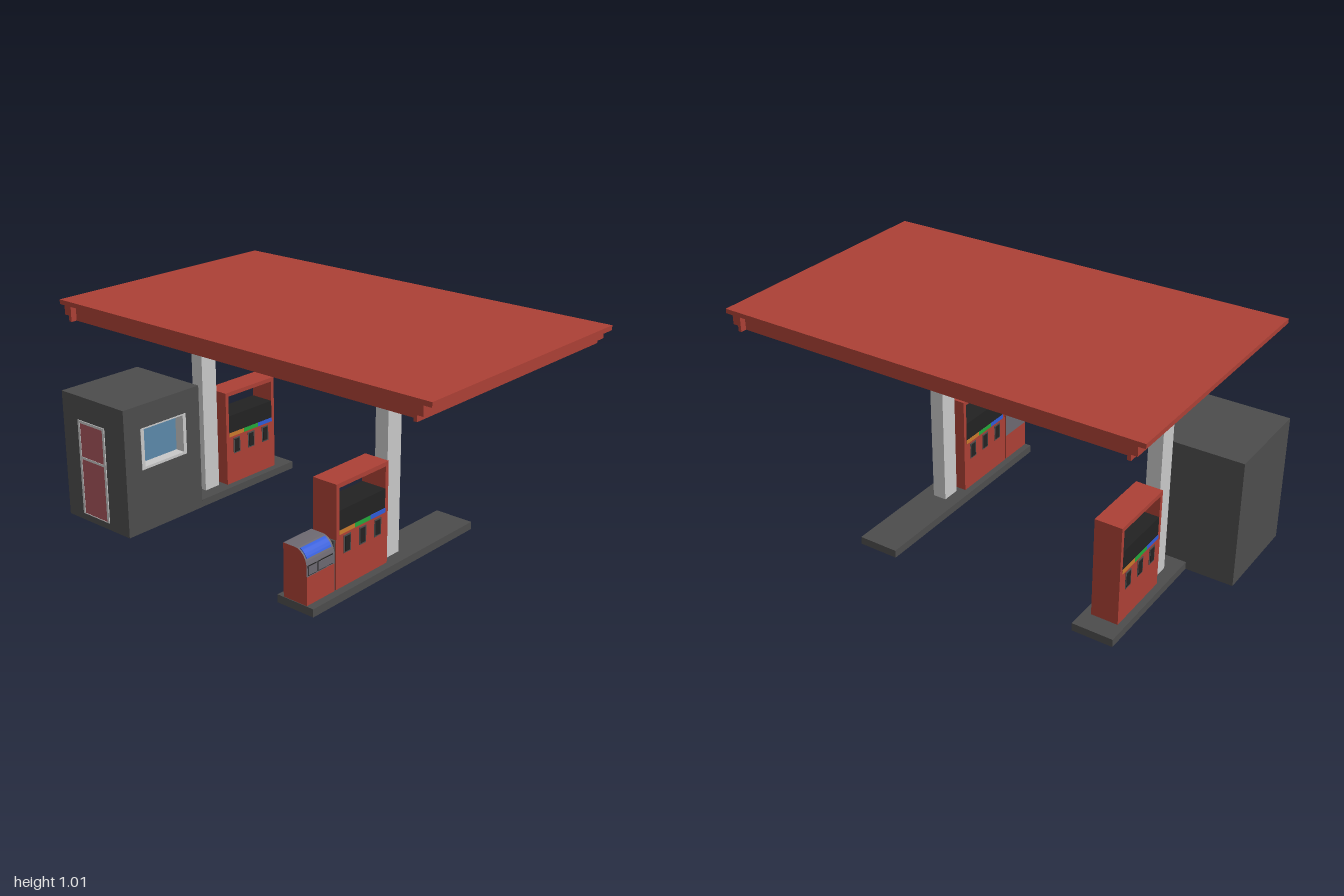
import * as THREE from 'three';
import { toCreasedNormals } from 'three/addons/utils/BufferGeometryUtils.js';

const mat = (name, color) => {
  const m = new THREE.MeshStandardMaterial({ color });
  m.name = name;
  return m;
};

export function createModel() {
  const red = mat('red paint', 0xab4035);
  const light = mat('light grey', 0xc8c8c8);
  const dark = mat('dark grey', 0x4c4c4c);
  const black = mat('black', 0x222222);
  const grey = mat('terminal grey', 0x6c6870);
  const blue = mat('blue', 0x2f5bd8);
  const green = mat('green', 0x22a83a);
  const orange = mat('orange', 0xc8782c);
  const glass = mat('window glass', 0x5b88a9);
  const doorRed = mat('door pane', 0xa8555c);
  const redBottom = [dark, dark, dark, red, dark, dark];

  const model = new THREE.Group();
  model.name = 'fuelStation';

  const group = (name, x = 0, z = 0) => {
    const g = new THREE.Group();
    g.name = name;
    g.position.set(x, 0, z);
    model.add(g);
    return g;
  };
  const add = (parent, name, geometry, material) => {
    const m = new THREE.Mesh(geometry, material);
    m.name = name;
    parent.add(m);
    return m;
  };
  // box given by its limits on each axis
  const box = (parent, name, material, x0, x1, y0, y1, z0, z1) => {
    const m = add(parent, name, new THREE.BoxGeometry(x1 - x0, y1 - y0, z1 - z0), material);
    m.position.set((x0 + x1) / 2, (y0 + y1) / 2, (z0 + z1) / 2);
    return m;
  };
  const rect = (P, x0, x1, y0, y1) =>
    new P([[x0, y0], [x1, y0], [x1, y1], [x0, y1]].map(p => new THREE.Vector2(...p)));

  // canopy: top slab, stepped end beams, recessed long fascias, pale ceiling
  const canopy = group('canopy');
  box(canopy, 'roofSlab', red, -0.935, 1, 0.99, 1.01, -0.59, 0.59);
  for (const s of [-1, 1]) {
    const end = new THREE.Shape([[0.865, 0.925], [0.88, 0.925], [0.88, 0.95], [0.905, 0.95], [0.905, 0.99], [0.865, 0.99]]
      .map(([x, y]) => new THREE.Vector2(s * (x + 0.0) + (s > 0 ? 0.06 : 0), y)));
    const g = new THREE.ExtrudeGeometry(end, { depth: 1.18, bevelEnabled: false });
    add(canopy, 'endBeam', g.translate(0, 0, -0.59), red);
    box(canopy, 'longFascia', red, -0.865, 0.925, 0.925, 0.99, s * 0.555 - 0.008, s * 0.555 + 0.008);
  }
  box(canopy, 'ceiling', light, -0.865, 0.925, 0.926, 0.94, -0.547, 0.547);

  // islands and columns
  box(model, 'rightIsland', redBottom, 0.27, 0.455, 0, 0.035, -0.48, 0.565);
  box(model, 'leftIsland', redBottom, -0.785, -0.601, 0, 0.035, -0.48, 0.129);
  for (const x of [-0.697, 0.361]) box(model, 'column', light, x - 0.032, x + 0.032, 0.035, 0.928, -0.043, 0.043);

  // fuel pumps, alike on both faces
  const pump = (name, x, z) => {
    const p = group(name, x, z);
    box(p, 'pumpBody', red, -0.06, 0.06, 0.035, 0.285, -0.16, 0.16);
    box(p, 'display', black, -0.06, 0.06, 0.285, 0.37, -0.142, 0.142);
    for (const s of [-1, 1]) {
      const zs = s * 0.151;
      box(p, 'post', red, -0.06, 0.06, 0.285, 0.485, zs - 0.009, zs + 0.009);
    }
    box(p, 'topBar', red, -0.06, 0.06, 0.466, 0.485, -0.142, 0.142);
    for (const turn of [0, Math.PI]) {
      const face = new THREE.Group();
      face.name = 'pumpFace';
      face.rotation.y = turn;
      p.add(face);
      [orange, green, blue].forEach((m, i) => {
        const c = 0.095 * (1 - i);
        box(face, 'fuelStripe', m, 0.059, 0.0615, 0.267, 0.286, c - 0.0475, c + 0.0475);
        box(face, 'nozzleFrame', dark, 0.059, 0.0625, 0.18, 0.256, c - 0.021, c + 0.021);
        box(face, 'nozzleHolder', black, 0.059, 0.064, 0.186, 0.25, c - 0.015, c + 0.015);
      });
    }
  };
  pump('rightPump', 0.36, 0.23);
  pump('leftPump', -0.695, -0.23);

  // payment terminal with a rounded, grey upper shell
  const terminal = group('paymentTerminal');
  box(terminal, 'terminalBase', red, 0.3, 0.42, 0.035, 0.157, 0.4, 0.562);
  box(terminal, 'spacer', dark, 0.305, 0.415, 0.035, 0.25, 0.39, 0.4);
  const shell = new THREE.Shape();
  shell.moveTo(0.3, 0.157);
  shell.lineTo(0.42, 0.157);
  shell.lineTo(0.42, 0.19);
  shell.absellipse(0.36, 0.19, 0.06, 0.078, 0, Math.PI / 2, false);
  shell.lineTo(0.3, 0.268);
  const shellGeo = new THREE.ExtrudeGeometry(shell, { depth: 0.162, bevelEnabled: false, curveSegments: 12 });
  add(terminal, 'terminalShell', toCreasedNormals(shellGeo, 0.5).translate(0, 0, 0.4), [red, grey]);
  // screen follows the curve of the shell
  const band = new THREE.Shape();
  const t0 = 0.54, t1 = 1.25;
  band.absellipse(0.36, 0.19, 0.063, 0.081, t0, t1, false);
  band.absellipse(0.36, 0.19, 0.058, 0.076, t1, t0, true);
  const bandGeo = new THREE.ExtrudeGeometry(band, { depth: 0.143, bevelEnabled: false, curveSegments: 8 });
  add(terminal, 'screen', toCreasedNormals(bandGeo, 0.5).translate(0, 0, 0.411), blue);
  for (const [z0, z1] of [[0.41, 0.5], [0.507, 0.556]]) {
    box(terminal, 'keypadRim', black, 0.415, 0.422, 0.162, 0.204, z0, z1);
    box(terminal, 'keypad', grey, 0.415, 0.4235, 0.165, 0.201, z0 + 0.003, z1 - 0.003);
  }

  // booth: core plus a window wall with an opening
  const booth = group('booth');
  box(booth, 'boothBase', redBottom, -1, -0.6, 0, 0.01, 0.13, 0.565);
  box(booth, 'boothCore', dark, -1, -0.65, 0.01, 0.585, 0.13, 0.565);
  const wall = rect(THREE.Shape, -0.565, -0.13, 0.01, 0.585);
  const frame = rect(THREE.Shape, -0.475, -0.213, 0.29, 0.48);
  wall.holes.push(rect(THREE.Path, -0.475, -0.213, 0.29, 0.48));
  frame.holes.push(rect(THREE.Path, -0.457, -0.231, 0.302, 0.474));
  for (const [name, shape, m, depth] of [['windowWall', wall, dark, 0.05], ['windowFrame', frame, light, 0.052]]) {
    const g = new THREE.ExtrudeGeometry(shape, { depth, bevelEnabled: false });
    add(booth, name, g.rotateY(Math.PI / 2).translate(-0.65, 0, 0), m);
  }
  box(booth, 'windowPane', glass, -0.651, -0.646, 0.3, 0.476, 0.229, 0.459);

  // door on the front of the booth
  const doorFrame = rect(THREE.Shape, -0.9, -0.727, 0.033, 0.475);
  doorFrame.holes.push(rect(THREE.Path, -0.887, -0.74, 0.036, 0.295), rect(THREE.Path, -0.887, -0.74, 0.306, 0.463));
  const doorGeo = new THREE.ExtrudeGeometry(doorFrame, { depth: 0.006, bevelEnabled: false });
  add(booth, 'doorFrame', doorGeo.translate(0, 0, 0.563), light);
  box(booth, 'doorPane', doorRed, -0.89, -0.737, 0.034, 0.466, 0.563, 0.567);

  return model;
}
